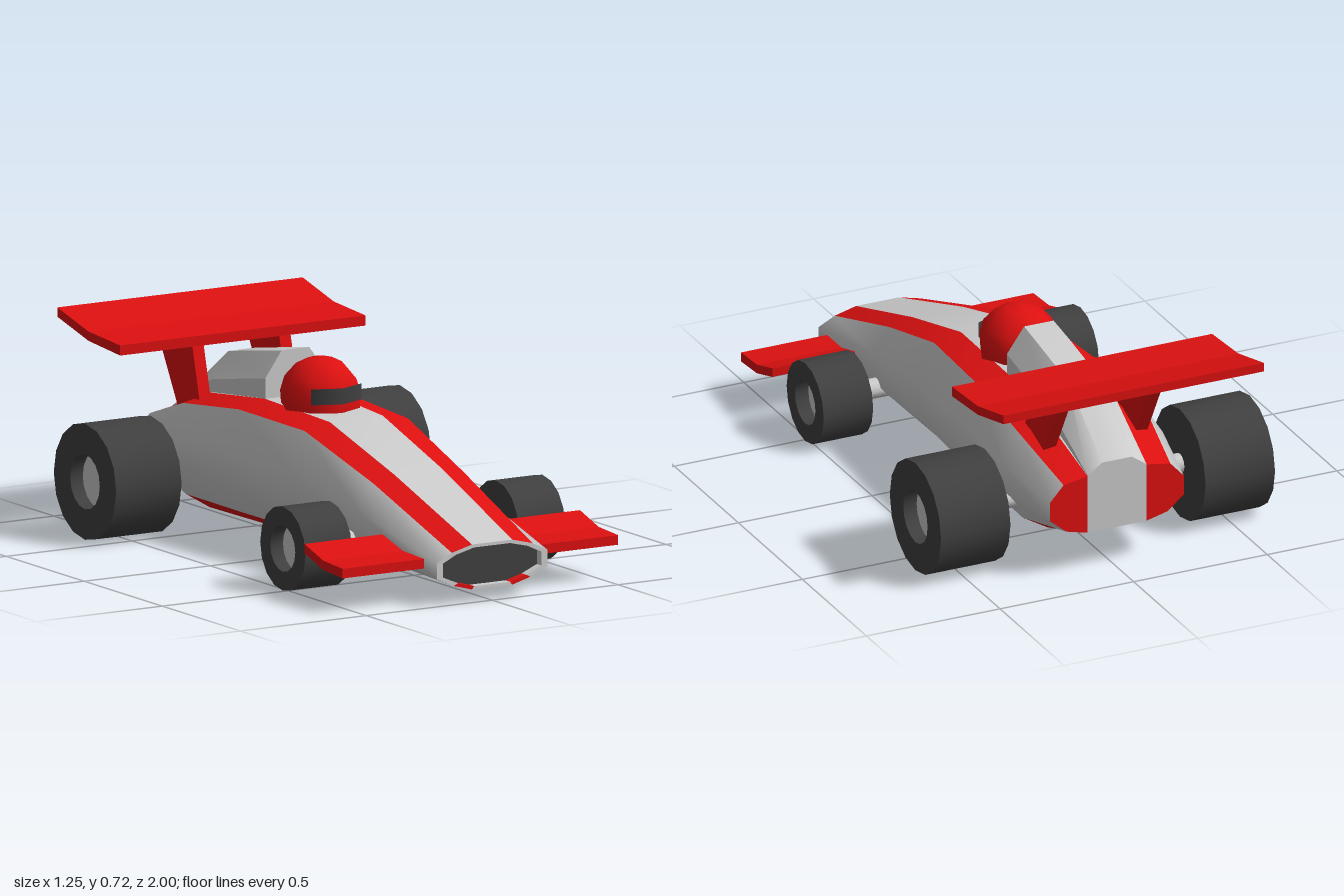
import * as THREE from 'three';
import { toCreasedNormals } from 'three/addons/utils/BufferGeometryUtils.js';

const paint = (color) => new THREE.MeshStandardMaterial({ color });
const grey = paint(0xcccccc), red = paint(0xdd1010), dark = paint(0x404040);

export function createModel() {
  const model = new THREE.Group();
  const add = (name, geometry, material, parent = model) => {
    const mesh = new THREE.Mesh(geometry, material);
    mesh.name = name;
    parent.add(mesh);
    return mesh;
  };

  // Skin over rings of points, using only the edges first .. first + count - 1
  const loft = (rings, first, count) => {
    const pos = [], index = [], row = count + 1;
    rings.forEach((ring, s) => {
      for (let i = 0; i <= count; i++) {
        pos.push(...ring[(first + i) % ring.length]);
        if (s + 1 < rings.length && i < count) {
          const a = s * row + i, d = a + row;
          index.push(a, a + 1, d + 1, a, d + 1, d);
        }
      }
    });
    const g = new THREE.BufferGeometry();
    g.setAttribute('position', new THREE.Float32BufferAttribute(pos, 3));
    g.setIndex(index);
    g.computeVertexNormals();
    return g;
  };

  // Flat cap through ring points, facing front or back
  const cap = (points, back = false) => {
    const g = new THREE.ShapeGeometry(new THREE.Shape(
      points.map(([x, y]) => new THREE.Vector2(back ? -x : x, y))));
    if (back) g.rotateY(Math.PI);
    return g.translate(0, 0, points[0][2]);
  };

  // Side outline of [z, y] points stretched from x0 to x1
  const slab = (outline, x0, x1) => {
    const shape = new THREE.Shape(outline.map(([z, y]) => new THREE.Vector2(z, y)));
    return new THREE.ExtrudeGeometry(shape, { depth: x1 - x0, bevelEnabled: false })
      .rotateY(-Math.PI / 2).translate(x1, 0, 0);
  };

  // Body stations: z, three half widths, six heights from top to bottom
  const stations = [
    [1, 0.08, 0.16, 0.22, 0.2, 0.18, 0.15, 0.095, 0.065, 0.045],
    [0.53, 0.095, 0.18, 0.245, 0.36, 0.34, 0.255, 0.15, 0.085, 0.055],
    [0.13, 0.105, 0.205, 0.265, 0.475, 0.455, 0.32, 0.19, 0.105, 0.06],
    [-0.26, 0.12, 0.225, 0.285, 0.49, 0.465, 0.33, 0.22, 0.11, 0.06],
    [-0.6, 0.13, 0.235, 0.3, 0.455, 0.43, 0.33, 0.23, 0.115, 0.06],
    [-0.87, 0.11, 0.2, 0.25, 0.36, 0.345, 0.29, 0.22, 0.17, 0.15],
  ];
  const rings = stations.map(([z, a, b, c, ...y]) => {
    const half = [a, b, c, c, b * 0.95, a].map((x, i) => [x, y[i], z]);
    return [...half, ...half.map(([x, h]) => [-x, h, z]).reverse()];
  });
  const bands = [
    ['topStripeLeft', 0, 1, red], ['bodySideLeft', 1, 3, grey],
    ['bottomStripeLeft', 4, 1, red], ['bodyFloor', 5, 1, grey],
    ['bottomStripeRight', 6, 1, red], ['bodySideRight', 7, 3, grey],
    ['topStripeRight', 10, 1, red], ['bodyTop', 11, 1, grey],
  ];
  for (const [name, first, count, mat] of bands) add(name, loft(rings, first, count), mat);

  // Nose lip and recessed dark intake
  const shrink = (z) => rings[0].map(([x, y]) => [x * 0.89, 0.122 + (y - 0.122) * 0.86, z]);
  const inner = shrink(1), deep = shrink(0.97);
  for (const [name, first, count, mat] of bands) {
    const lipMat = name.startsWith('bottomStripe') ? red : grey;
    const lip = loft([deep, inner, rings[0]], first, count);
    add('noseLip', toCreasedNormals(lip, 0.5), lipMat);
  }
  add('noseIntake', cap(deep), dark);

  // Tail panels
  const tail = rings[5];
  add('tailPanelLeft', cap(tail.slice(0, 6), true), red);
  add('tailPanelRight', cap(tail.slice(6), true), red);
  add('tailPanelCentre', cap([tail[0], tail[5], tail[6], tail[11]], true), grey);

  // Engine cover behind the driver: z, half widths, heights
  const cover = [
    [-0.26, 0.12, 0.055, 0.45, 0.56, 0.65],
    [-0.6, 0.12, 0.055, 0.4, 0.5, 0.59],
    [-0.87, 0.11, 0.055, 0.355, 0.362, 0.4],
  ].map(([z, w, t, y0, y1, y2]) => [
    [-w, y0, z], [-w, y1, z], [-t, y2, z], [t, y2, z], [w, y1, z], [w, y0, z]]);
  add('engineCover', toCreasedNormals(loft(cover, 0, 5), 0.6), grey);
  add('engineCoverFront', cap(cover[0]), grey);
  add('engineCoverBack', cap(cover[2], true), grey);

  // Driver's helmet and visor
  const helmetProfile = [[0.135, 0.46], [0.14, 0.53], [0.125, 0.58], [0.085, 0.625], [0.045, 0.645], [0, 0.65]]
    .map(([r, y]) => new THREE.Vector2(r, y));
  add('helmet', new THREE.LatheGeometry(helmetProfile, 8), red).position.z = -0.1;
  const visor = new THREE.CylinderGeometry(0.142, 0.142, 0.055, 2, 1, true, -Math.PI / 4, Math.PI / 2);
  const visorMat = dark.clone();
  visorMat.side = THREE.DoubleSide;
  add('visor', visor, visorMat).position.set(0, 0.537, -0.1);

  // Rear wing
  add('rearWing', slab([[-0.597, 0.62], [-0.597, 0.655], [-0.8, 0.668], [-1, 0.717],
    [-1, 0.685], [-0.8, 0.636]], -0.487, 0.487), red);

  // Paired wing parts
  for (const side of [1, -1]) {
    const label = side > 0 ? 'Left' : 'Right';
    const pair = (a, b) => (side > 0 ? [a, b] : [-b, -a]);
    add('wingStrut' + label, slab([[-0.61, 0.635], [-0.84, 0.65], [-0.7, 0.4], [-0.56, 0.44]],
      ...pair(0.15, 0.195)), red);
    add('frontWing' + label, slab([[0.925, 0.12], [0.925, 0.153], [0.8, 0.16], [0.68, 0.197],
      [0.68, 0.165], [0.8, 0.128]], ...pair(0.18, 0.547)), red);
  }

  // Wheels with recessed hubs, each with a stub axle
  const axles = [
    { name: 'front', z: 0.49, r: 0.145, hub: 0.08, x0: 0.33, x1: 0.515 },
    { name: 'rear', z: -0.6, r: 0.2, hub: 0.095, x0: 0.365, x1: 0.625 },
  ];
  for (const { name, z, r, hub, x0, x1 } of axles) {
    const profile = [[0, x0], [r, x0], [r, x1], [hub, x1], [hub, x1 - 0.05]]
      .map((p) => new THREE.Vector2(...p));
    const tyre = toCreasedNormals(new THREE.LatheGeometry(profile, 16).rotateZ(-Math.PI / 2), 0.7);
    const disc = new THREE.CircleGeometry(hub, 16).rotateY(Math.PI / 2).translate(x1 - 0.05, 0, 0);
    const axle = new THREE.CylinderGeometry(0.035, 0.035, x0 - 0.1, 12)
      .rotateZ(Math.PI / 2).translate((x0 + 0.12) / 2, 0, 0);
    for (const left of [true, false]) {
      const wheel = new THREE.Group();
      wheel.name = name + 'Wheel' + (left ? 'Left' : 'Right');
      wheel.position.set(0, r, z);
      wheel.rotation.y = left ? 0 : Math.PI;
      add('tyre', tyre, dark, wheel);
      add('hub', disc, grey, wheel);
      add('axle', axle, grey, wheel);
      model.add(wheel);
    }
  }
  return model;
}
